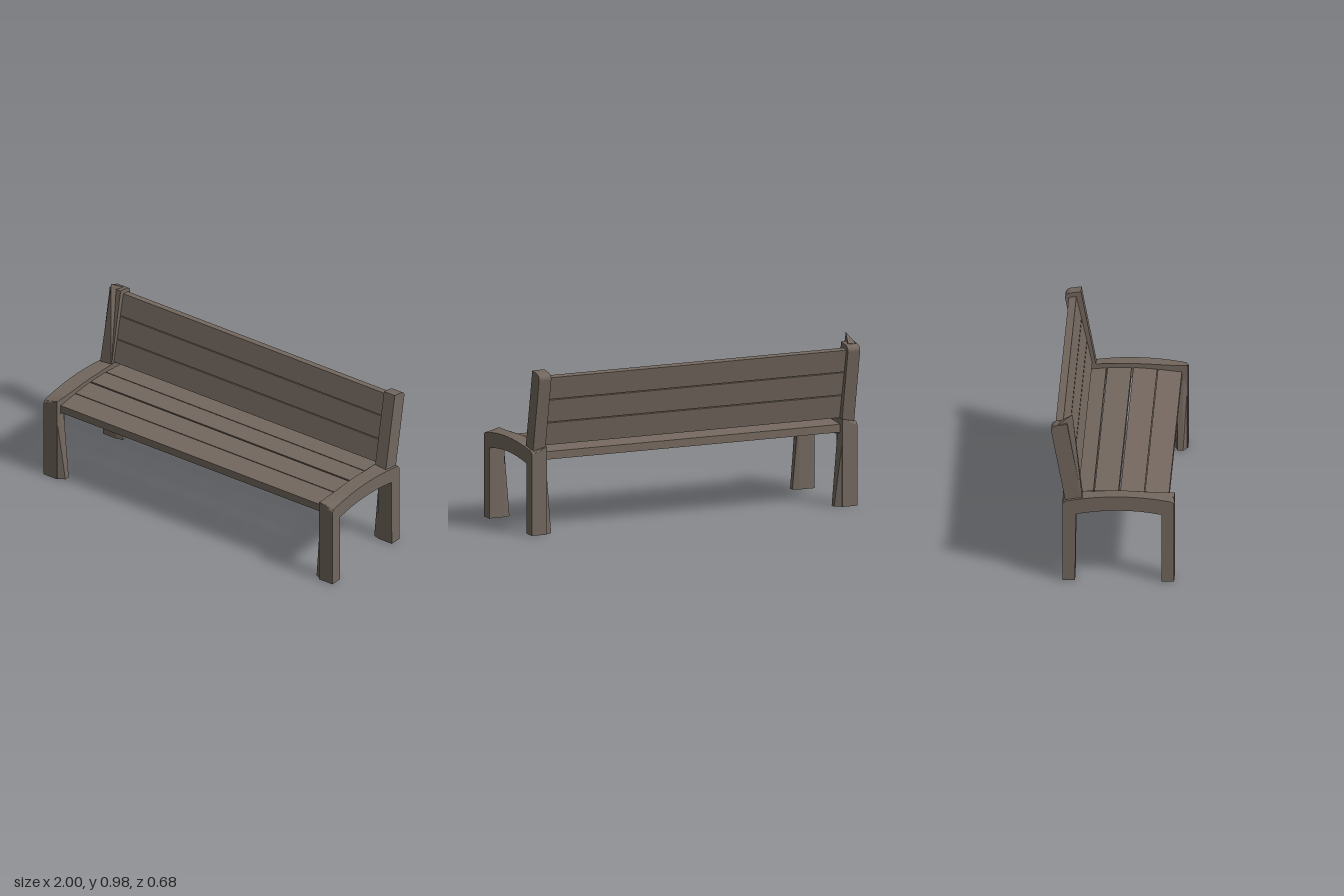
import * as THREE from 'three';
import { ConvexGeometry } from 'three/addons/geometries/ConvexGeometry.js';

const frameWood = new THREE.MeshStandardMaterial({ color: 0x72675e });
frameWood.name = 'frame wood';
const plankWood = new THREE.MeshStandardMaterial({ color: 0x74685f });
plankWood.name = 'plank wood';

// Extrude a (z, y) outline across x, from x0 to x1
function extrudeX(shape, x0, x1) {
  const geo = new THREE.ExtrudeGeometry(shape, { depth: x1 - x0, bevelEnabled: false, curveSegments: 8 });
  return geo.rotateY(-Math.PI / 2).translate(x1, 0, 0);
}

function polygon(points) {
  return new THREE.Shape(points.map(([z, y]) => new THREE.Vector2(z, y)));
}

// Arched side frame with both legs in one outline
function frameShape() {
  const s = new THREE.Shape();
  s.moveTo(0.27, 0);
  s.lineTo(0.34, 0);
  s.lineTo(0.34, 0.455);
  s.quadraticCurveTo(0.34, 0.476, 0.315, 0.48);
  s.quadraticCurveTo(0.04, 0.53, -0.25, 0.477);
  s.quadraticCurveTo(-0.28, 0.472, -0.28, 0.45);
  s.lineTo(-0.28, 0);
  s.lineTo(-0.21, 0);
  s.lineTo(-0.205, 0.397);
  s.quadraticCurveTo(0.04, 0.445, 0.27, 0.4);
  s.closePath();
  return s;
}

// Leaning back post, rounded at the rear of its top
function postShape() {
  const s = new THREE.Shape();
  s.moveTo(-0.166, 0.46);
  s.lineTo(-0.255, 0.93);
  s.lineTo(-0.315, 0.921);
  s.quadraticCurveTo(-0.345, 0.912, -0.343, 0.888);
  s.lineTo(-0.262, 0.46);
  s.closePath();
  return s;
}

// Tapered wedge on the inside of a leg, widest at the floor
function legFlare(side, zA, zB) {
  const pts = [];
  for (const z of [zA, zB]) {
    pts.push(new THREE.Vector3(side * 0.915, 0, z), new THREE.Vector3(side * 0.915, 0.41, z));
  }
  const inset = (zB - zA) * 0.38;
  for (const z of [zA + inset, zB - inset * 0.4]) {
    pts.push(new THREE.Vector3(side * 0.87, 0, z), new THREE.Vector3(side * 0.905, 0.41, z));
  }
  return new ConvexGeometry(pts);
}

export function createModel() {
  const group = new THREE.Group();
  const add = (name, geo, mat) => {
    const mesh = new THREE.Mesh(geo, mat);
    mesh.name = name;
    group.add(mesh);
  };

  for (const side of [-1, 1]) {
    const label = side > 0 ? 'left' : 'right';
    const span = (a, b) => (side > 0 ? [a, b] : [-b, -a]);

    // Side frame, its inner top edge raised level at the two ends
    const frame = extrudeX(frameShape(), ...span(0.908, 1));
    const p = frame.attributes.position;
    for (let i = 0; i < p.count; i++) {
      if (Math.abs(p.getX(i)) < 0.95 && p.getY(i) > 0.447) {
        p.setY(i, Math.max(p.getY(i), 0.497));
      }
    }
    frame.computeVertexNormals();
    add(label + 'SideFrame', frame, frameWood);

    // Inner flares on front and back legs
    add(label + 'FrontLegFlare', legFlare(side, 0.338, 0.272), frameWood);
    add(label + 'BackLegFlare', legFlare(side, -0.278, -0.211), frameWood);

    add(label + 'BackPost', extrudeX(postShape(), ...span(0.912, 0.987)), frameWood);
  }

  // Pointed splinter on the front of the right post
  add('rightPostPoint', new ConvexGeometry([
    new THREE.Vector3(-0.99, 0.49, -0.17),
    new THREE.Vector3(-0.914, 0.49, -0.17),
    new THREE.Vector3(-0.955, 0.975, -0.225),
    new THREE.Vector3(-0.979, 0.925, -0.305),
    new THREE.Vector3(-0.931, 0.925, -0.305),
  ]), frameWood);

  // Seat planks following the arch: front z, front y, back z, back y
  const seat = [
    [0.305, 0.458, 0.172, 0.472],
    [0.168, 0.473, 0.036, 0.481],
    [0.026, 0.481, -0.108, 0.477],
    [-0.114, 0.476, -0.25, 0.462],
  ];
  for (const [z0, y0, z1, y1] of seat) {
    const shape = polygon([[z0, y0], [z1, y1], [z1, y1 - 0.045], [z0, y0 - 0.045]]);
    add('seatPlank', extrudeX(shape, -0.912, 0.912), plankWood);
  }

  // Backrest planks on the lean of the posts
  const lean = (y) => -0.192 - (y - 0.5) * 0.222;
  for (const [y0, y1] of [[0.502, 0.632], [0.637, 0.767], [0.772, 0.9]]) {
    const shape = polygon([
      [lean(y0), y0], [lean(y1), y1],
      [lean(y1) - 0.042, y1 - 0.006], [lean(y0) - 0.042, y0 - 0.006],
    ]);
    add('backrestPlank', extrudeX(shape, -0.915, 0.915), plankWood);
  }

  return group;
}
